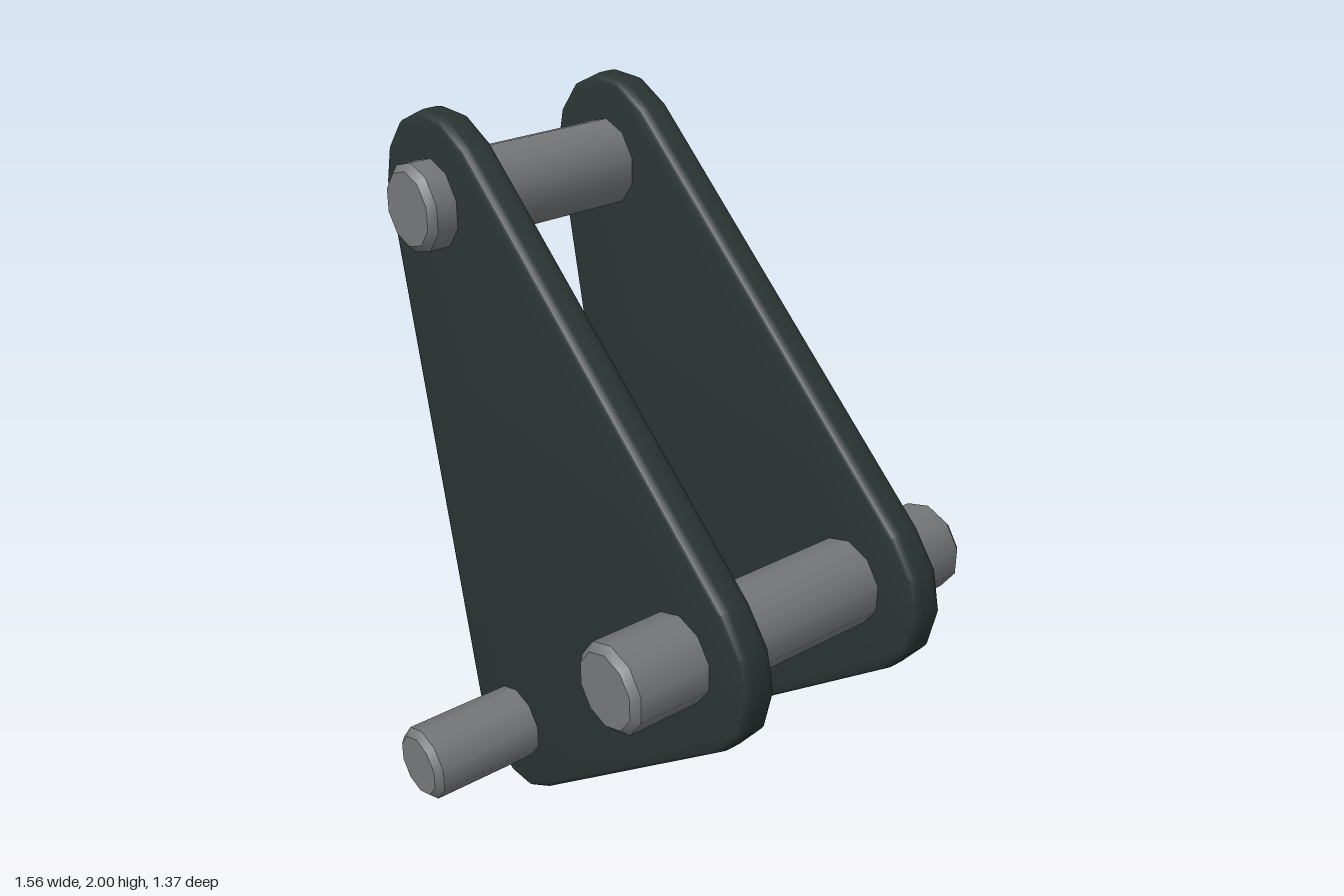
import * as THREE from 'three';
import { toCreasedNormals } from 'three/addons/utils/BufferGeometryUtils.js';

const plateMaterial = new THREE.MeshStandardMaterial({ color: 0x2a3433 });
plateMaterial.name = 'dark plate';
const pinMaterial = new THREE.MeshStandardMaterial({ color: 0x747678 });
pinMaterial.name = 'grey steel';

// Rounded triangle, counter-clockwise
const OUTLINE = [
  [-0.48, 2], [-0.59, 2], [-0.69, 1.95], [-0.755, 1.865], [-0.78, 1.76],
  [-0.455, 0.2], [-0.435, 0.125], [-0.38, 0.055], [-0.285, 0], [-0.19, 0],
  [-0.1, 0.05], [0.675, 0.645], [0.75, 0.735], [0.777, 0.85], [0.75, 0.965],
  [0.675, 1.06], [-0.375, 1.95],
];

// Centre x, centre y, radius, half length
const PINS = {
  topPin: [-0.532, 1.76, 0.124, 0.42],
  sidePin: [0.515, 0.853, 0.124, 0.572],
  bottomPin: [-0.24, 0.22, 0.111, 0.686],
};

// Side plate with softly rounded rims, centred on z
function plateGeometry() {
  const shape = new THREE.Shape(OUTLINE.map(([x, y]) => new THREE.Vector2(x, y)));
  const thickness = 0.094, bevel = 0.025;
  const geometry = new THREE.ExtrudeGeometry(shape, {
    depth: thickness - 2 * bevel,
    bevelThickness: bevel,
    bevelSize: 0.018,
    bevelOffset: -0.018,
    bevelSegments: 3,
  });
  geometry.translate(0, 0, bevel - thickness / 2);
  return toCreasedNormals(geometry, 0.6);
}

// Ten-sided pin along z with chamfered ends
function pinGeometry(radius, half) {
  const c = 0.02;
  const profile = [
    [0, -half], [radius - c, -half], [radius, -half + c],
    [radius, half - c], [radius - c, half], [0, half],
  ].map(([r, y]) => new THREE.Vector2(r, y));
  const geometry = new THREE.LatheGeometry(profile, 10);
  geometry.rotateX(Math.PI / 2);
  return toCreasedNormals(geometry, 0.7);
}

export function createModel() {
  const model = new THREE.Group();
  model.name = 'linkBracket';

  // Two matching plates
  const plate = plateGeometry();
  for (const [name, z] of [['frontPlate', 0.292], ['backPlate', -0.292]]) {
    const mesh = new THREE.Mesh(plate, plateMaterial);
    mesh.name = name;
    mesh.position.z = z;
    model.add(mesh);
  }

  // Pins through the three corners
  for (const [name, [x, y, radius, half]] of Object.entries(PINS)) {
    const mesh = new THREE.Mesh(pinGeometry(radius, half), pinMaterial);
    mesh.name = name;
    mesh.position.set(x, y, 0);
    model.add(mesh);
  }
  return model;
}
